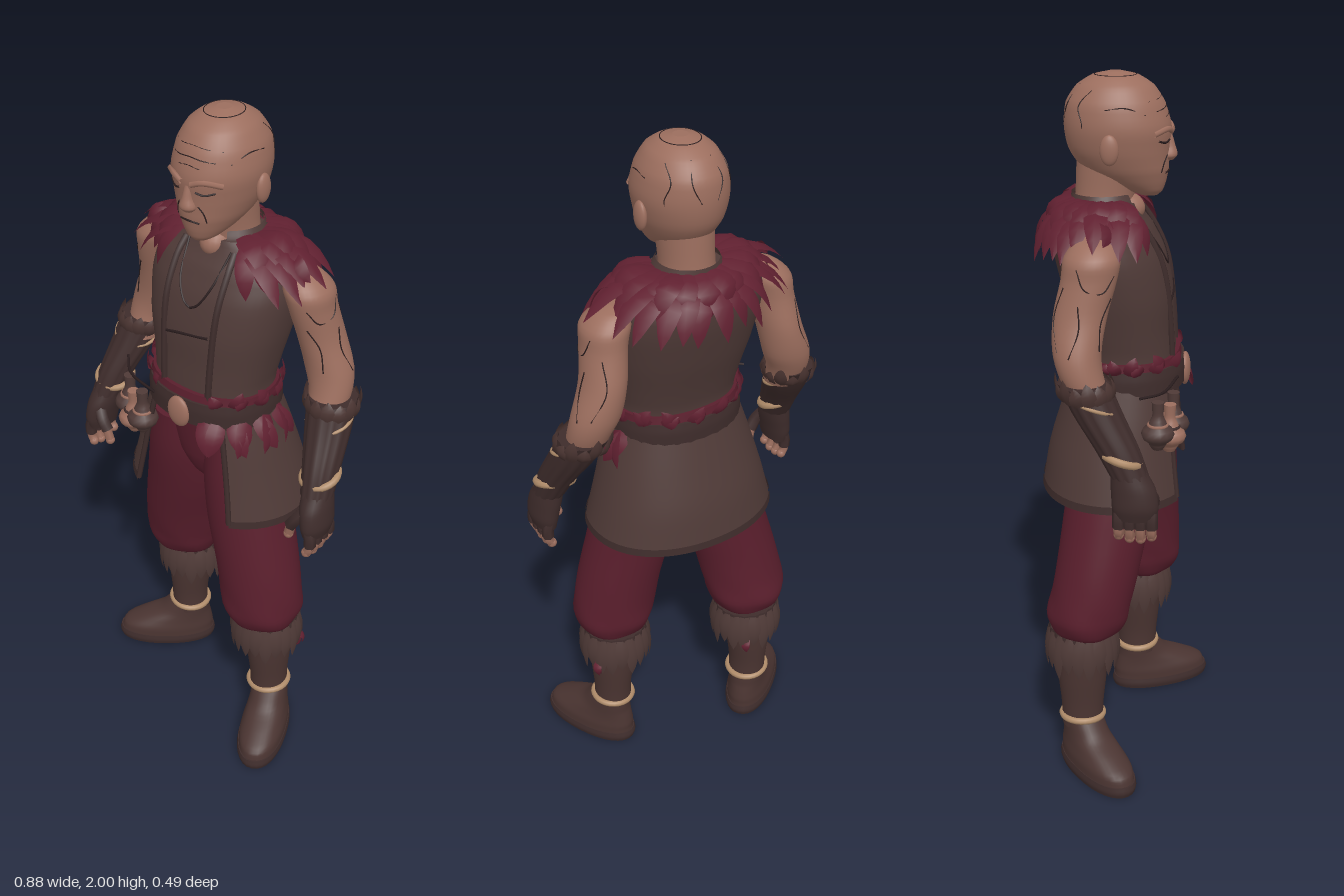
import * as THREE from 'three';
import { mergeGeometries } from 'three/addons/utils/BufferGeometryUtils.js';

const mat = (name, color) => {
  const m = new THREE.MeshStandardMaterial({ color, side: THREE.DoubleSide });
  m.name = name;
  return m;
};
const V = (x, y, z) => new THREE.Vector3(x, y, z);

// Stack of horizontal ovals [x, y, z, rx, rz], listed from bottom to top
function loft(secs, { seg = 32, rows = 4, pow = 2, a0 = 0, cap = true, ripple } = {}) {
  const open = a0 > 0, n = open ? seg + 1 : seg, pos = [], idx = [];
  const mid = new THREE.CatmullRomCurve3(secs.map(s => V(s[0], s[1], s[2])));
  const rad = new THREE.CatmullRomCurve3(secs.map(s => V(s[3], s[4], 0)));
  const steps = (secs.length - 1) * rows, rings = [];
  for (let i = 0; i <= steps; i++) rings.push([mid.getPoint(i / steps), rad.getPoint(i / steps), i / steps]);
  if (cap && !open) {
    const flat = r => [r[0], V(0.0005, 0.0005, 0), r[2]];
    rings.unshift(flat(rings[0]), rings[0]);
    rings.push(rings[rings.length - 1], flat(rings[rings.length - 1]));
  }
  const sp = v => Math.sign(v) * Math.abs(v) ** (2 / pow);
  rings.forEach(([c, r, t]) => {
    for (let j = 0; j < n; j++) {
      const a = a0 + (j / seg) * (2 * Math.PI - 2 * a0), k = ripple ? ripple(a, t) : 1;
      pos.push(c.x + r.x * k * sp(Math.sin(a)), c.y, c.z + r.y * k * sp(Math.cos(a)));
    }
  });
  for (let i = 0; i < rings.length - 1; i++) {
    if (cap && !open && (i === 1 || i === rings.length - 3)) continue;
    for (let j = 0; j < (open ? n - 1 : n); j++) {
      const p = i * n + j, q = i * n + ((j + 1) % n);
      idx.push(p, q, q + n, p, q + n, p + n);
    }
  }
  const g = new THREE.BufferGeometry();
  g.setAttribute('position', new THREE.Float32BufferAttribute(pos, 3));
  g.setIndex(idx);
  g.computeVertexNormals();
  return g;
}

// Pointed leaf from base to tip, bulging along the normal
function feather(base, tip, normal, w, bulge = 0.015) {
  const d = tip.clone().sub(base), side = d.clone().cross(normal).normalize();
  const n = side.clone().cross(d).normalize(), pos = [], idx = [], R = 6;
  for (let i = 0; i <= R; i++) {
    const t = i / R, h = w * Math.max(0, Math.sin(Math.PI * (0.2 + 0.8 * t))) ** 0.8;
    for (const k of [-1, 0, 1]) {
      const p = base.clone().addScaledVector(d, t).addScaledVector(side, k * h)
        .addScaledVector(n, bulge * Math.sin(Math.PI * t) + (k ? 0 : h * 0.3));
      pos.push(p.x, p.y, p.z);
    }
    if (i < R) for (const k of [0, 1]) {
      const p = i * 3 + k;
      idx.push(p, p + 1, p + 4, p, p + 4, p + 3);
    }
  }
  const g = new THREE.BufferGeometry();
  g.setAttribute('position', new THREE.Float32BufferAttribute(pos, 3));
  g.setIndex(idx);
  g.computeVertexNormals();
  return g;
}

const tube = (pts, r, n = 16) =>
  new THREE.TubeGeometry(new THREE.CatmullRomCurve3(pts.map(p => V(...p))), n, r, 6);

// Oval of a loft at height y
function ovalAt(secs, y) {
  let i = 0;
  while (i < secs.length - 2 && secs[i + 1][1] < y) i++;
  const t = THREE.MathUtils.clamp((y - secs[i][1]) / (secs[i + 1][1] - secs[i][1]), 0, 1);
  return secs[i].map((v, k) => v + t * (secs[i + 1][k] - v));
}
// Lines lying on a loft: by (x, y) on its front, or by (angle, y) all around
const line = (secs, pts, r, pow = 2) => tube(pts.map(([x, y]) => {
  const [, , cz, rx, rz] = ovalAt(secs, y);
  return [x, y, cz + r * 0.3 + rz * Math.max(0, 1 - Math.abs(x / rx) ** pow) ** (1 / pow)];
}), r);
const wrap = (secs, pts, r) => tube(pts.map(([a, y]) => {
  const [cx, , cz, rx, rz] = ovalAt(secs, y);
  return [cx + rx * Math.sin(a), y, cz + rz * Math.cos(a)];
}), r, 24);

export function createModel() {
  const model = new THREE.Group();
  const skin = mat('skin', 0x9c6e5e), brown = mat('brown leather', 0x4f3a37), red = mat('dark red cloth', 0x591e2c);
  const plume = mat('red feather', 0x602030), boot = mat('boot leather', 0x4a3431), dark = mat('dark leather', 0x3e2c2b);
  const tan = mat('tan binding', 0xb08c6a), ink = mat('dark line', 0x2a1d1e);
  const add = (name, g, m) => {
    const o = new THREE.Mesh(Array.isArray(g) ? mergeGeometries(g) : g, m);
    o.name = name;
    model.add(o);
    return o;
  };
  const ball = (x, y, z, a, b, c) => new THREE.SphereGeometry(1, 20, 14).scale(a, b, c).translate(x, y, z);

  // Head and neck
  const headS = [[0, 1.678, 0.06, 0.022, 0.025], [0, 1.69, 0.05, 0.042, 0.047], [0, 1.715, 0.022, 0.066, 0.084],
    [0, 1.75, -0.003, 0.09, 0.116], [0, 1.8, -0.02, 0.11, 0.135], [0, 1.86, -0.024, 0.121, 0.143],
    [0, 1.92, -0.03, 0.112, 0.132], [0, 1.965, -0.03, 0.087, 0.102], [0, 1.99, -0.03, 0.055, 0.062], [0, 2, -0.03, 0.02, 0.02]];
  add('head', loft(headS, { seg: 40 }), skin);
  add('neck', loft([[0, 1.58, -0.07, 0.09, 0.085], [0, 1.67, -0.06, 0.072, 0.08], [0, 1.77, -0.045, 0.075, 0.09]]), skin);
  add('throat', ball(0, 1.64, -0.01, 0.045, 0.045, 0.06), skin);
  add('nose', loft([[0, 1.772, 0.11, 0.014, 0.014], [0, 1.785, 0.113, 0.024, 0.022], [0, 1.81, 0.111, 0.015, 0.018],
    [0, 1.85, 0.105, 0.011, 0.012]], { seg: 16 }), skin);
  const marks = [line(headS, [[-0.03, 1.741], [0, 1.745], [0.03, 1.741]], 0.003),
    new THREE.TorusGeometry(0.05, 0.0012, 6, 36).rotateX(Math.PI / 2).scale(1, 1, 1.1).translate(0, 1.992, -0.03)];
  const brows = [], ears = [];
  for (const s of [-1, 1]) {
    marks.push(line(headS, [[s * 0.025, 1.829], [s * 0.045, 1.824], [s * 0.07, 1.831]], 0.003));
    marks.push(line(headS, [[s * 0.03, 1.79], [s * 0.042, 1.77], [s * 0.046, 1.745]], 0.0018));
    marks.push(wrap(headS, [[s * 0.9, 1.9], [s * 1.3, 1.92], [s * 1.7, 1.915]], 0.0016));
    marks.push(wrap(headS, [[s * 2.1, 1.96], [s * 2.3, 1.92], [s * 2.2, 1.87], [s * 2.5, 1.82]], 0.0016));
    marks.push(wrap(headS, [[s * 2.8, 1.97], [s * 2.75, 1.92], [s * 2.95, 1.87]], 0.0016));
    brows.push(line(headS, [[s * 0.015, 1.85], [s * 0.045, 1.86], [s * 0.085, 1.85]], 0.008));
    ears.push(ball(s * 0.121, 1.815, -0.035, 0.014, 0.04, 0.025));
  }
  for (const [w, y] of [[0.5, 1.89], [0.6, 1.91], [0.75, 1.935]])
    marks.push(wrap(headS, [[-w, y - 0.004], [-w / 2, y], [0, y + 0.004], [w / 2, y], [w, y - 0.004]], 0.0015));
  add('faceLines', marks, ink);
  add('brows', brows, skin);
  add('ears', ears, skin);

  // Sleeveless vest with trim strips, pocket seam, collar and cord
  const vestS = [[0, 1.17, 0.005, 0.18, 0.135], [0, 1.25, 0.005, 0.175, 0.133], [0, 1.32, -0.005, 0.185, 0.138],
    [0, 1.42, -0.022, 0.205, 0.15], [0, 1.52, -0.045, 0.217, 0.15], [0, 1.59, -0.065, 0.21, 0.135],
    [0, 1.632, -0.07, 0.165, 0.108], [0, 1.66, -0.06, 0.1, 0.085]];
  add('vest', loft(vestS, { seg: 48, pow: 2.3 }), brown);
  const strips = [], seams = [line(vestS, [[-0.08, 1.395], [-0.03, 1.41], [0.07, 1.425]], 0.004, 2.3)];
  for (const s of [-1, 1]) {
    strips.push(line(vestS, [[s * 0.08, 1.64], [s * 0.085, 1.6], [s * 0.085, 1.5], [s * 0.08, 1.35], [s * 0.075, 1.2]], 0.01, 2.3));
    seams.push(line(vestS, [[s * 0.07, 1.64], [s * 0.05, 1.55], [s * 0.02, 1.5], [0, 1.49]], 0.0035, 2.3));
  }
  add('vestStrips', strips, dark);
  add('vestSeams', seams, ink);
  add('vestCollar', loft([[0, 1.64, -0.062, 0.098, 0.092], [0, 1.662, -0.062, 0.096, 0.09], [0, 1.685, -0.066, 0.084, 0.083]], { a0: 0.5 }), brown);

  // Feather mantle over back and shoulders, in two layers
  const mantle = [];
  for (const [n, rx, rz, drop, lift] of [[21, 0.295, 0.185, 1, 0], [16, 0.235, 0.15, 0.6, 0.012]])
    for (let i = 0; i < n; i++) {
      const a = 0.95 + (i / (n - 1)) * (2 * Math.PI - 1.9), sx = Math.sin(a), cz = Math.cos(a);
      const j = 1 + 0.05 * Math.sin(i * 2.7), back = Math.max(0, -cz), t = a + 0.05 * Math.sin(i * 1.9);
      const y = 1.66 - drop * (0.075 + 0.065 * back + 0.07 * Math.max(0, cz));
      mantle.push(feather(V(0.095 * sx, 1.66 + lift, -0.06 + 0.085 * cz),
        V(rx * j * Math.sin(t), y + 0.01 * Math.sin(i * 4.1), -0.06 + rz * j * Math.cos(t)), V(sx * 0.5, 1, cz * 0.5), 0.032, 0.032));
    }
  // Feathers hanging over the front of each shoulder
  for (const s of [-1, 1]) for (let k = 0; k < 4; k++)
    mantle.push(feather(V(s * (0.105 + 0.03 * k), 1.662 - 0.008 * k, 0.01 - 0.02 * k),
      V(s * (0.15 + 0.042 * k), 1.545 + 0.018 * k, 0.068 - 0.035 * k), V(s * 0.4, 0.5, 0.8), 0.027, 0.02));
  add('featherMantle', mantle, plume);

  // Belt, buckle and waist feathers
  add('belt', loft([[0, 1.16, 0.005, 0.193, 0.162], [0, 1.2, 0.005, 0.192, 0.162], [0, 1.23, 0.005, 0.188, 0.157]], { pow: 2.2 }), dark);
  add('sash', loft([[0, 1.23, 0.005, 0.188, 0.15], [0, 1.25, 0.005, 0.185, 0.145]], { pow: 2.2 }), red);
  add('buckle', ball(0, 1.185, 0.165, 0.037, 0.048, 0.016), skin);
  const waist = [];
  for (let i = 0; i < 30; i++) {
    const a = (i / 30) * 2 * Math.PI, s = Math.sin(a), c = Math.cos(a), lean = 0.25 * Math.sin(i * 3.3);
    const at = (b, r, y) => V((0.188 + r) * Math.sin(b), y, 0.005 + (0.152 + r) * Math.cos(b));
    if (c < 0.9) waist.push(feather(at(a, 0, 1.225), at(a + lean, 0.01, 1.268 + 0.012 * Math.sin(i * 2)), V(s, 0, c), 0.02, 0.008));
    if (a > 0.35 && a < 2) waist.push(feather(at(a, 0.004, 1.18), at(a + lean, 0.05, 1.09), V(s, 0, c), 0.026, 0.01));
  }
  add('waistFeathers', waist, plume);

  // Skirt open at the front, with dark hem
  const skirtS = [[0, 0.862, -0.022, 0.28, 0.215], [0, 0.97, -0.02, 0.252, 0.198], [0, 1.08, -0.01, 0.222, 0.175], [0, 1.19, 0, 0.188, 0.15]];
  add('skirt', loft(skirtS, { seg: 44, a0: 0.62, pow: 2.15 }), brown);
  add('skirtHem', loft([[0, 0.852, -0.022, 0.284, 0.219], [0, 0.874, -0.022, 0.281, 0.216]], { seg: 44, a0: 0.62, pow: 2.15 }), dark);
  const edges = [-1, 1].map(s => tube(skirtS.map(([, y, z, rx, rz]) =>
    [s * rx * Math.sin(0.62) ** 0.93, y, z + rz * Math.cos(0.62) ** 0.93]), 0.008));
  add('skirtEdges', edges, dark);

  // Hanging flasks at the right hip
  for (const [x, y, z, m] of [[-0.235, 1.085, 0.105, brown], [-0.195, 1.065, 0.135, skin], [-0.155, 1.085, 0.142, brown]]) {
    add('flask', loft([[x, y - 0.05, z, 0.015, 0.015], [x, y - 0.03, z, 0.026, 0.026], [x, y + 0.02, z, 0.026, 0.026],
      [x, y + 0.05, z, 0.015, 0.015], [x, y + 0.085, z, 0.017, 0.017]], { seg: 14 }), m);
    add('flaskBand', new THREE.TorusGeometry(0.025, 0.005, 6, 16).rotateX(Math.PI / 2).translate(x, y + 0.02, z), m === skin ? dark : skin);
  }
  add('beltCord', tube([[-0.28, 1.195, 0.06], [-0.22, 1.19, 0.115], [-0.1, 1.195, 0.15]], 0.004), ink);

  add('trouserSeat', loft([[0, 0.87, -0.015, 0.02, 0.05], [0, 0.93, -0.012, 0.07, 0.095], [0, 1.0, -0.008, 0.12, 0.118],
    [0, 1.18, 0, 0.175, 0.135]]), red);
  for (const s of [-1, 1]) {
    const side = s > 0 ? 'left' : 'right';
    // Baggy trouser leg, one leg stepping forward
    const dz = y => (s > 0 ? 0.025 : -0.1) * THREE.MathUtils.clamp((1.05 - y) / 0.55, 0, 1);
    const leg = [[0.2, 0.44, 0, 0.075, 0.075], [0.203, 0.46, 0.005, 0.105, 0.1], [0.2, 0.51, 0.006, 0.124, 0.119],
      [0.192, 0.57, 0.008, 0.126, 0.118], [0.175, 0.66, 0.008, 0.126, 0.12], [0.14, 0.8, 0.005, 0.127, 0.125],
      [0.112, 0.95, 0, 0.117, 0.13], [0.095, 1.1, 0, 0.095, 0.12]];
    add(side + 'Trouser', loft(leg.map(([x, y, z, a, b]) => [s * x, y, z + dz(y), a, b]),
      { seg: 40, ripple: (a, t) => 1 + 0.035 * Math.max(0, 1 - t * 1.8) * Math.sin(5 * a + 14 * t) }), red);

    // Boot shaft, foot and sole
    const bx = s > 0 ? 0.222 : -0.208, bz = s > 0 ? 0.015 : -0.112, foot = new THREE.Group();
    foot.name = side + 'Foot';
    foot.position.set(bx + (s > 0 ? 0.008 : 0), 0, bz);
    foot.rotation.y = s > 0 ? 0.42 : -0.88;
    model.add(foot);
    foot.add(add('bootFoot', loft([[0, 0.025, 0.08, 0.07, 0.155], [0, 0.055, 0.075, 0.069, 0.15], [0, 0.085, 0.05, 0.062, 0.12],
      [0, 0.115, 0.02, 0.057, 0.083], [0, 0.16, 0, 0.055, 0.06]], { pow: 2.2 }), boot));
    foot.add(add('bootSole', loft([[0, 0, 0.08, 0.072, 0.158], [0, 0.015, 0.08, 0.075, 0.162], [0, 0.032, 0.08, 0.072, 0.158]], { pow: 2.2 }), dark));
    add(side + 'BootShaft', loft([[bx, 0.13, bz, 0.056, 0.06], [bx, 0.2, bz, 0.056, 0.062],
      [bx - s * 0.003, 0.3, bz, 0.066, 0.072], [bx - s * 0.008, 0.46, bz, 0.078, 0.08]]), boot);
    add(side + 'AnkleBand', new THREE.TorusGeometry(0.06, 0.01, 8, 28).rotateX(Math.PI / 2).rotateZ(s * 0.08).translate(bx, 0.16, bz), tan);

    // Fringed boot cuff
    const cx = bx - s * 0.015, fringe = [];
    add(side + 'Cuff', loft([[cx, 0.36, bz, 0.096, 0.094], [cx, 0.41, bz, 0.101, 0.099], [cx, 0.46, bz, 0.097, 0.094]],
      { seg: 60, ripple: a => 1 + 0.025 * Math.sin(18 * a) }), dark);
    for (let i = 0; i < 20; i++) {
      const a = (i / 20) * 2 * Math.PI, x = Math.sin(a), z = Math.cos(a);
      fringe.push(feather(V(cx + 0.095 * x, 0.455, bz + 0.093 * z),
        V(cx + 0.102 * x, 0.325 + 0.014 * Math.sin(i * 2.3), bz + 0.101 * z), V(x, 0, z), 0.021, 0.008));
    }
    add(side + 'CuffFringe', fringe, brown);
    const tx = s > 0 ? 0.288 : -0.15, tz = s > 0 ? -0.03 : -0.19;
    add(side + 'Tassel', [-1, 0, 1].map(k => feather(V(tx, 0.37, tz), V(tx + 0.012 * k, 0.31 + 0.01 * k, tz - 0.014 * k),
      V(1, 0, -0.6), 0.014)), plume);

    // Bare arm with muscle lines
    const mir = list => list.map(([x, ...r]) => [s * x, ...r]);
    const armS = mir([[0.325, 1.2, -0.06, 0.05, 0.052], [0.32, 1.27, -0.09, 0.06, 0.058], [0.303, 1.33, -0.102, 0.068, 0.064],
      [0.277, 1.42, -0.096, 0.061, 0.071], [0.261, 1.51, -0.075, 0.06, 0.073], [0.251, 1.56, -0.068, 0.065, 0.075],
      [0.23, 1.602, -0.066, 0.045, 0.05], [0.22, 1.614, -0.066, 0.015, 0.02]]);
    add(side + 'Arm', loft(armS), skin);
    add(side + 'ArmLines', [[[2, 1.55], [1.6, 1.5], [0.9, 1.49], [0.5, 1.53]], [[0.3, 1.47], [0.6, 1.41], [0.4, 1.34]],
      [[1.7, 1.46], [1.5, 1.4], [1.8, 1.33]], [[2.5, 1.5], [2.7, 1.42], [2.4, 1.34]]]
      .map(l => wrap(armS, l.map(([a, y]) => [s * a, y]), 0.0018)), ink);

    // Ribbed bracer with ragged top and bindings
    const brace = mir([[0.385, 1.02, 0.042, 0.043, 0.05], [0.372, 1.09, 0.008, 0.05, 0.057],
      [0.35, 1.18, -0.045, 0.062, 0.064], [0.334, 1.255, -0.082, 0.068, 0.066]]);
    add(side + 'Bracer', loft(brace, { seg: 48, ripple: a => 1 + 0.03 * Math.sin(12 * a) }), dark);
    const rag = [];
    for (let i = 0; i < 14; i++) {
      const a = (i / 14) * 2 * Math.PI, x = Math.sin(a), z = Math.cos(a);
      rag.push(feather(V(s * 0.34 + 0.066 * x, 1.215, -0.07 + 0.064 * z),
        V(s * 0.33 + 0.074 * x, 1.272 + 0.012 * Math.sin(i * 2.9), -0.085 + 0.072 * z), V(x, 0, z), 0.02, 0.006));
    }
    add(side + 'BracerFringe', rag, boot);
    for (const [x, y, z, r, w] of [[0.376, 1.065, 0.02, 0.05, 0.011], [0.345, 1.2, -0.055, 0.064, 0.005]])
      add(side + 'BracerBand', new THREE.TorusGeometry(r, w, 8, 28).rotateX(Math.PI / 2 + 0.3).rotateZ(s * 0.15).translate(s * x, y, z), tan);

    // Gloved hand with bare fingertips
    add(side + 'Glove', loft(mir([[0.4, 0.905, 0.058, 0.03, 0.054], [0.4, 0.94, 0.058, 0.038, 0.062],
      [0.393, 0.985, 0.053, 0.041, 0.06], [0.386, 1.03, 0.04, 0.04, 0.048]]), { seg: 24 }), dark);
    const base = [], tips = [];
    for (let k = 0; k < 4; k++) {
      const z = 0.015 + k * 0.029, e = 0.842 + 0.008 * Math.abs(k - 1.6);
      base.push(tube([[s * 0.4, 0.935, z], [s * 0.41, 0.905, z], [s * 0.41, 0.88, z]], 0.017, 6));
      tips.push(tube([[s * 0.41, 0.89, z], [s * 0.408, 0.868, z], [s * 0.4, e, z]], 0.014, 6), ball(s * 0.4, e, z, 0.014, 0.014, 0.014));
    }
    base.push(tube([[s * 0.385, 0.985, 0.085], [s * 0.36, 0.95, 0.1], [s * 0.342, 0.92, 0.1]], 0.019, 8));
    tips.push(tube([[s * 0.345, 0.925, 0.1], [s * 0.335, 0.885, 0.098]], 0.014, 6), ball(s * 0.335, 0.885, 0.098, 0.014, 0.014, 0.014));
    add(side + 'GloveFingers', base, dark);
    add(side + 'Fingertips', tips, skin);
  }
  return model;
}
